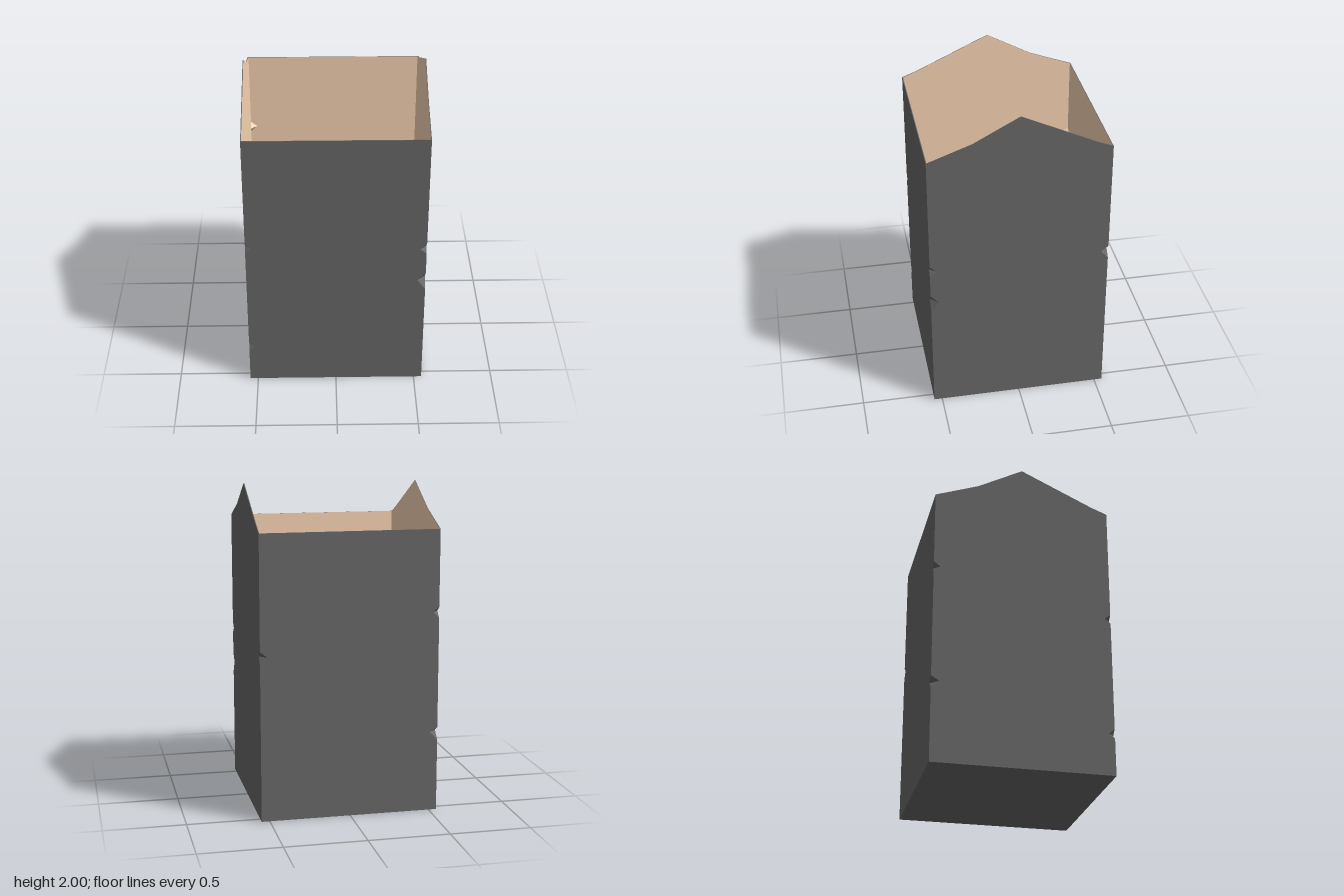
import * as THREE from 'three';

const H = 0.55;      // half width of the outer shell
const T = 0.005;     // wall thickness
const EAVE = 1.752;  // wall height at the corners

// Chips along each corner edge: [height, width, rise, drop].
// Corners run (+x,+z), (+x,-z), (-x,-z), (-x,+z).
const CHIPS = [
  [[0.765, 0.05, 0.055, 0.07], [0.995, 0.04, 0.04, 0.035]],
  [[1.015, 0.045, 0.035, 0.05]],
  [[0.5, 0.05, 0.03, 0.05], [1.25, 0.04, 0.03, 0.04]],
  [[0.26, 0.035, 0.035, 0.03], [1.01, 0.035, 0.03, 0.03]],
];

// Gable line from the right-hand eave to the left-hand eave
const GABLE = [[0.45, 1.791], [0, 2], [-0.28, 1.85]];

const charcoal = new THREE.MeshStandardMaterial({ color: 0x6a6a6a, flatShading: true });
const tan = new THREE.MeshStandardMaterial({ color: 0xfcd7b6, flatShading: true });

function addMesh(parent, name, geometry, material) {
  const mesh = new THREE.Mesh(geometry, material);
  mesh.name = name;
  parent.add(mesh);
}

// Turns a surface to face the other way
function flip(geometry) {
  geometry.index.array.reverse();
  geometry.computeVertexNormals();
  return geometry;
}

function fromPoints(points, index) {
  const g = new THREE.BufferGeometry();
  g.setAttribute('position', new THREE.Float32BufferAttribute(points.flat(), 3));
  g.setIndex(index);
  g.computeVertexNormals();
  return g;
}

// Upper edge of a wall at half width h, from right to left
function topLine(h, gabled) {
  return [[h, EAVE], ...(gabled ? GABLE : []), [-h, EAVE]];
}

// Flat wall with the chips bitten out of both upright edges
function wallGeometry(h, leftChips, rightChips, gabled) {
  const pts = [[-h, 0], [h, 0]];
  for (const [y, w, up, down] of rightChips) pts.push([h, y - down], [h - w, y], [h, y + up]);
  pts.push(...topLine(h, gabled));
  for (const [y, w, up, down] of [...leftChips].reverse()) {
    pts.push([-h, y + up], [-h + w, y], [-h, y - down]);
  }
  const shape = new THREE.Shape(pts.map(([x, y]) => new THREE.Vector2(x, y)));
  return new THREE.ShapeGeometry(shape).translate(0, 0, h);
}

// Two sloping facets closing a chip at a corner
function chipGeometry(h, [y, w, up, down]) {
  const top = [h, y + up, h], bottom = [h, y - down, h];
  const a = [h - w, y, h], b = [h, y, h - w];
  return fromPoints([top, a, b, bottom, b, a], [0, 1, 2, 3, 4, 5]);
}

// Narrow strip between the outer and inner upper edges
function rimGeometry(gabled) {
  const outer = topLine(H, gabled).map(([x, y]) => [x, y, H]);
  const inner = topLine(H - T, gabled).map(([x, y]) => [x, y, H - T]);
  const n = outer.length, index = [];
  for (let i = 0; i < n - 1; i++) index.push(i, n + i, n + i + 1, i, n + i + 1, i + 1);
  return fromPoints([...outer, ...inner], index);
}

export function createModel() {
  const model = new THREE.Group();
  model.name = 'openGabledBox';

  // Four walls, each with its lining, rim and the chips of its right-hand corner
  ['frontWall', 'leftWall', 'backWall', 'rightWall'].forEach((name, i) => {
    const wall = new THREE.Group();
    wall.name = name;
    wall.rotation.y = i * Math.PI / 2;
    model.add(wall);
    const left = CHIPS[(i + 3) % 4], right = CHIPS[i], gabled = i % 2 === 1;
    addMesh(wall, 'outerFace', wallGeometry(H, left, right, gabled), charcoal);
    addMesh(wall, 'lining', flip(wallGeometry(H - T, left, right, gabled)), tan);
    addMesh(wall, 'rim', rimGeometry(gabled), charcoal);
    for (const chip of right) {
      addMesh(wall, 'cornerChip', chipGeometry(H, chip), charcoal);
      addMesh(wall, 'cornerChipLining', flip(chipGeometry(H - T, chip)), tan);
    }
  });

  // Underside and inner floor
  addMesh(model, 'underside', new THREE.PlaneGeometry(2 * H, 2 * H).rotateX(Math.PI / 2), charcoal);
  const inner = 2 * (H - T);
  addMesh(model, 'floor', new THREE.PlaneGeometry(inner, inner).rotateX(-Math.PI / 2).translate(0, T, 0), tan);

  return model;
}
